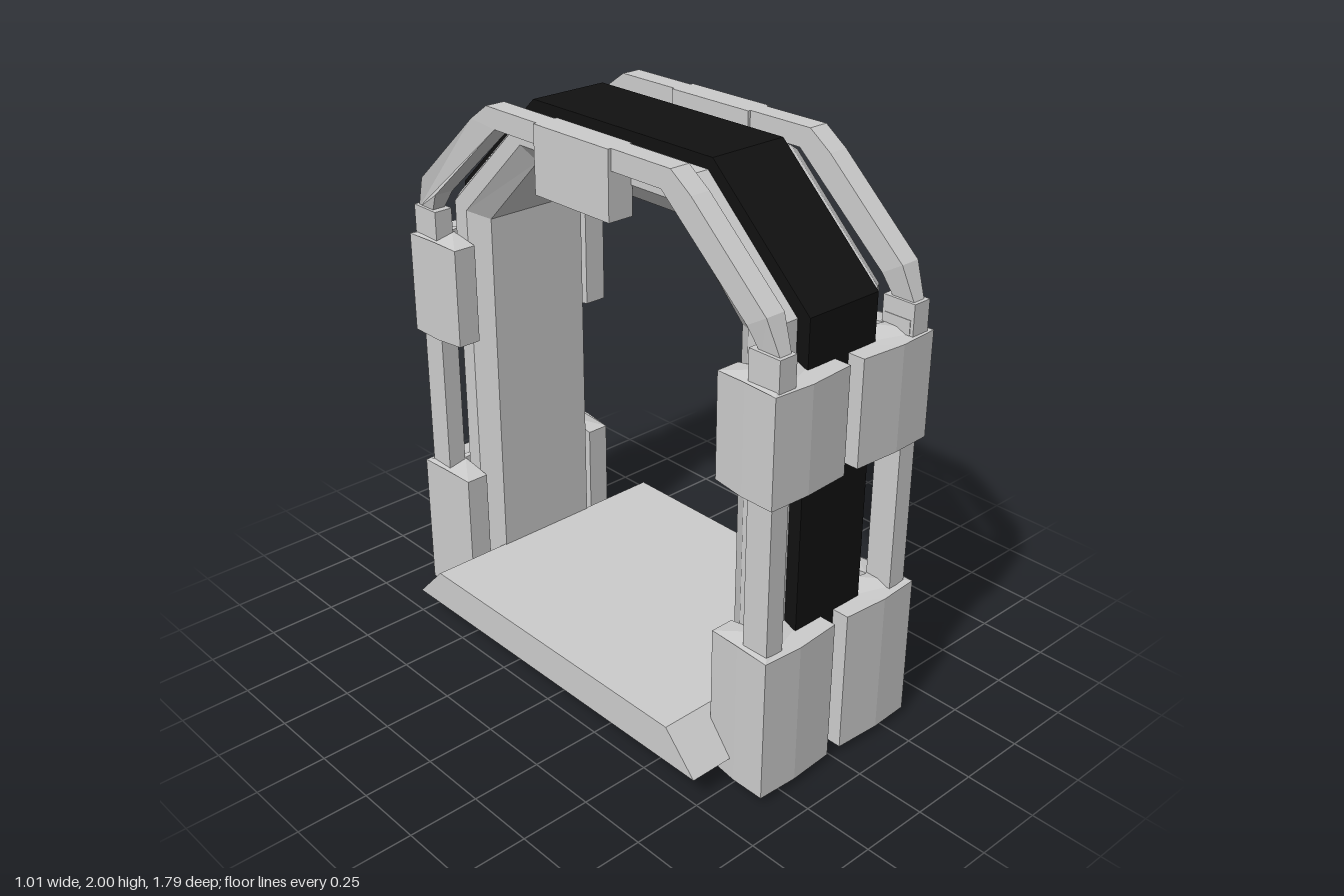
import * as THREE from 'three';

const grey = new THREE.MeshStandardMaterial({ color: 0xcccccc, flatShading: true });
const black = new THREE.MeshStandardMaterial({ color: 0x111111, flatShading: true });

function mesh(name, geometry, material = grey) {
  const g = geometry.index ? geometry.toNonIndexed() : geometry;
  g.computeVertexNormals();
  const m = new THREE.Mesh(g, material);
  m.name = name;
  return m;
}

function box(x0, x1, y0, y1, z0, z1) {
  return new THREE.BoxGeometry(x1 - x0, y1 - y0, z1 - z0)
    .translate((x0 + x1) / 2, (y0 + y1) / 2, (z0 + z1) / 2);
}

// Mirror a geometry in x and/or z, keeping the faces pointing outward
function mirrored(geometry, sx, sz) {
  const g = geometry.index ? geometry.toNonIndexed() : geometry.clone();
  g.scale(sx, 1, sz);
  if (sx * sz < 0) {
    const p = g.attributes.position;
    const a = new THREE.Vector3(), b = new THREE.Vector3();
    for (let i = 0; i < p.count; i += 3) {
      a.fromBufferAttribute(p, i + 1);
      b.fromBufferAttribute(p, i + 2);
      p.setXYZ(i + 1, b.x, b.y, b.z);
      p.setXYZ(i + 2, a.x, a.y, a.z);
    }
  }
  return g;
}

// Gate path in (z, y), pushed outward by d
function archPath(d) {
  const s = d * 1.2;
  const half = [[0.605 + s, 0.14], [0.605 + s, 1.54 + 0.4 * d], [0.335 + 0.45 * d, 1.81 + d]];
  return [...half, ...half.map(([z, y]) => [-z, y]).reverse()];
}

// Sweep a convex section of [depth, x] points along the gate path
function sweepArch(section) {
  const n = section.length, positions = [], index = [];
  const paths = section.map(([d]) => archPath(d));
  const rows = paths[0].length;
  for (let i = 0; i < rows; i++)
    section.forEach(([, x], j) => positions.push(x, paths[j][i][1], paths[j][i][0]));
  for (let i = 0; i < rows - 1; i++)
    for (let j = 0; j < n; j++) {
      const a = i * n + j, b = i * n + (j + 1) % n;
      index.push(a, b, b + n, a, b + n, a + n);
    }
  const last = (rows - 1) * n;
  for (let j = 1; j < n - 1; j++) {
    index.push(0, j + 1, j);
    index.push(last, last + j, last + j + 1);
  }
  const g = new THREE.BufferGeometry();
  g.setAttribute('position', new THREE.Float32BufferAttribute(positions, 3));
  g.setIndex(index);
  return g;
}

// Extrude a symmetric (z, y) side profile from x0 to x1
function sideProfile(points, x0, x1) {
  const shape = new THREE.Shape(points.map(([z, y]) => new THREE.Vector2(z, y)));
  return new THREE.ExtrudeGeometry(shape, { depth: x1 - x0, bevelEnabled: false })
    .rotateY(Math.PI / 2).translate(x0, 0, 0);
}

// Corner clamp: L-shaped plan with gently peaked ends
function clampGeometry(y0, y1) {
  const plan = [[0.03, 0.882], [0.2, 0.893], [0.348, 0.885], [0.345, 0.76], [0.335, 0.64],
    [0.25, 0.64], [0.25, 0.77], [0.2, 0.77], [0.03, 0.77]];
  const shape = new THREE.Shape(plan.map(([x, z]) => new THREE.Vector2(x, z)));
  const g = new THREE.ExtrudeGeometry(shape, { depth: y1 - y0, bevelEnabled: false })
    .rotateX(Math.PI / 2).translate(0, y1, 0);
  const p = g.attributes.position;
  for (let i = 0; i < p.count; i++) {
    const x = p.getX(i), z = p.getZ(i), y = p.getY(i);
    const drop = Math.max(Math.abs(x - 0.2) * 0.15, Math.abs(z - 0.77) * 0.22);
    p.setY(i, y > (y0 + y1) / 2 ? y - drop : y + drop);
  }
  return g;
}

export function createModel() {
  const model = new THREE.Group();
  model.name = 'gate';

  // Floor slab with sloping ends
  model.add(mesh('floorSlab', sideProfile(
    [[-0.74, 0.1], [0.74, 0.1], [0.61, 0.235], [-0.61, 0.235]], -0.505, 0.505)));

  // Chamfered arch and the dark band around its outside
  const half = [[0, 0.2], [0.06, 0.25], [0.113, 0.25], [0.14, 0.205]];
  model.add(mesh('arch', sweepArch([...half.map(([d, x]) => [d, -x]), ...half.slice().reverse()])));
  model.add(mesh('darkBand', sweepArch(
    [[0.08, -0.147], [0.18, -0.147], [0.18, 0.15], [0.08, 0.15]]), black));

  // Bent rail over the top, narrowing at its lower ends
  const outer = [[0.87, 1.54], [0.82, 1.665], [0.515, 1.94], [0.43, 2]];
  const inner = [[0.39, 1.93], [0.745, 1.62], [0.79, 1.54]];
  const flip = (pts) => pts.map(([z, y]) => [-z, y]).reverse();
  const rail = sideProfile([...outer, ...flip(outer), ...flip(inner), ...inner], 0.255, 0.328);
  const rp = rail.attributes.position;
  for (let i = 0; i < rp.count; i++)
    if (rp.getY(i) < 1.6) rp.setX(i, 0.29 + (rp.getX(i) - 0.29) * 0.6);

  const topBlock = box(0.245, 0.34, 1.77, 2, -0.175, 0.175);
  const post = box(0.255, 0.325, 0.2, 1.5, 0.765, 0.865);
  const postCap = box(0.257, 0.327, 1.4, 1.555, 0.755, 0.877);
  const lowerClamp = clampGeometry(0.004, 0.57);
  const upperClamp = clampGeometry(1.057, 1.475);

  for (const sx of [1, -1]) {
    const side = sx > 0 ? 'left' : 'right';
    model.add(mesh(side + 'TopRail', mirrored(rail, sx, 1)));
    model.add(mesh(side + 'TopBlock', mirrored(topBlock, sx, 1)));
    for (const sz of [1, -1]) {
      const corner = new THREE.Group();
      corner.name = side + (sz > 0 ? 'Front' : 'Back') + 'Corner';
      corner.add(
        mesh('post', mirrored(post, sx, sz)),
        mesh('postCap', mirrored(postCap, sx, sz)),
        mesh('lowerClamp', mirrored(lowerClamp, sx, sz)),
        mesh('upperClamp', mirrored(upperClamp, sx, sz)));
      model.add(corner);
    }
  }
  return model;
}
